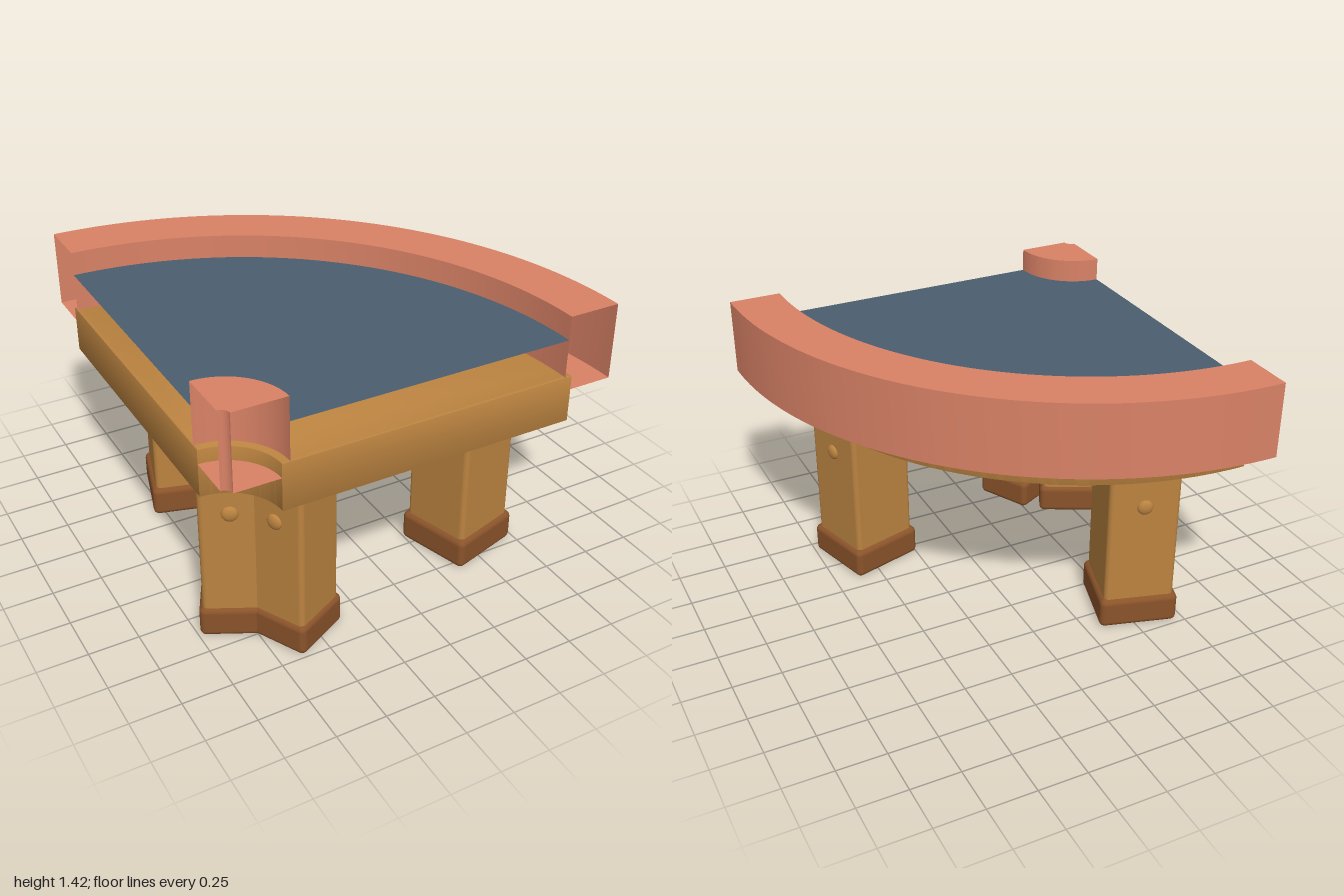
import * as THREE from 'three';
import { toCreasedNormals } from 'three/addons/utils/BufferGeometryUtils.js';
import { RoundedBoxGeometry } from 'three/addons/geometries/RoundedBoxGeometry.js';

const QUARTER = Math.PI / 2;

function material(name, color, side = THREE.FrontSide) {
  const m = new THREE.MeshStandardMaterial({ color, side });
  m.name = name;
  return m;
}

function addMesh(parent, name, geometry, mat, x = 0, y = 0, z = 0) {
  const mesh = new THREE.Mesh(geometry, mat);
  mesh.name = name;
  mesh.position.set(x, y, z);
  parent.add(mesh);
  return mesh;
}

// Hollow rectangular rail swept through a quarter turn, open at both ends
function railGeometry(inner, outer, bottom, top) {
  const profile = [[inner, bottom], [outer, bottom], [outer, top], [inner, top], [inner, bottom]]
    .map(([r, y]) => new THREE.Vector2(r, y));
  return toCreasedNormals(new THREE.LatheGeometry(profile, 48, QUARTER, QUARTER), 0.5);
}

// Solid quarter ring lying flat, with slightly softened edges
function sectorGeometry(inner, outer, height) {
  const bevel = 0.006;
  const shape = new THREE.Shape();
  shape.absarc(0, 0, outer, 0, QUARTER, false);
  shape.absarc(0, 0, inner, QUARTER, 0, true);
  const g = new THREE.ExtrudeGeometry(shape, {
    depth: height - 2 * bevel, curveSegments: 48,
    bevelThickness: bevel, bevelSize: bevel, bevelOffset: -bevel, bevelSegments: 2,
  });
  g.translate(0, 0, bevel).rotateX(-QUARTER);
  return toCreasedNormals(g, 0.5);
}

export function createModel() {
  const wood = material('wood', 0xbb8340);
  const shoe = material('darkWood', 0x8a532a);
  const felt = material('slateFelt', 0x4b5e6e, THREE.DoubleSide);
  const padding = material('terracottaRail', 0xd98266, THREE.DoubleSide);

  // Everything is laid out around the corner that the quarter ring turns about
  const model = new THREE.Group();
  model.name = 'cornerTable';
  const table = new THREE.Group();
  table.name = 'quarterTable';
  table.position.set(-1, 0, 1);
  model.add(table);

  // Table top: the felt is a thin sheet held between the rails, above the frame
  addMesh(table, 'frame', sectorGeometry(0.265, 1.773, 0.245), wood, 0, 0.86, 0);
  const surface = new THREE.RingGeometry(0.305, 1.735, 64, 1, 0, QUARTER).rotateX(-QUARTER);
  addMesh(table, 'playSurface', surface, felt, 0, 1.3, 0);
  addMesh(table, 'outerRail', railGeometry(1.735, 2, 1.032, 1.42), padding);
  addMesh(table, 'innerRail', railGeometry(0.04, 0.305, 1.032, 1.42), padding);

  // Legs point radially, mirrored about the diagonal
  function addLeg(name, radius, angle, width, shoeWidth) {
    const leg = new THREE.Group();
    leg.name = name;
    leg.rotation.y = angle;
    leg.position.set(radius * Math.cos(angle), 0, -radius * Math.sin(angle));
    table.add(leg);
    addMesh(leg, 'post', new RoundedBoxGeometry(width, 0.88, width, 4, 0.025), wood, 0, 0.445, 0);
    addMesh(leg, 'foot', new RoundedBoxGeometry(shoeWidth, 0.161, shoeWidth, 4, 0.03), shoe, 0, 0.0805, 0);
    for (const side of [-1, 1]) {
      const peg = addMesh(leg, 'peg', new THREE.SphereGeometry(0.04, 20, 14), wood, side * width / 2, 0.697, 0);
      peg.scale.x = 0.5;
    }
  }
  const outerAngle = THREE.MathUtils.degToRad(16.2);
  const innerAngle = THREE.MathUtils.degToRad(27);
  addLeg('outerLegLeft', 1.551, outerAngle, 0.36, 0.402);
  addLeg('outerLegBack', 1.551, QUARTER - outerAngle, 0.36, 0.402);
  addLeg('innerLegLeft', 0.484, innerAngle, 0.292, 0.324);
  addLeg('innerLegBack', 0.484, QUARTER - innerAngle, 0.292, 0.324);

  return model;
}
